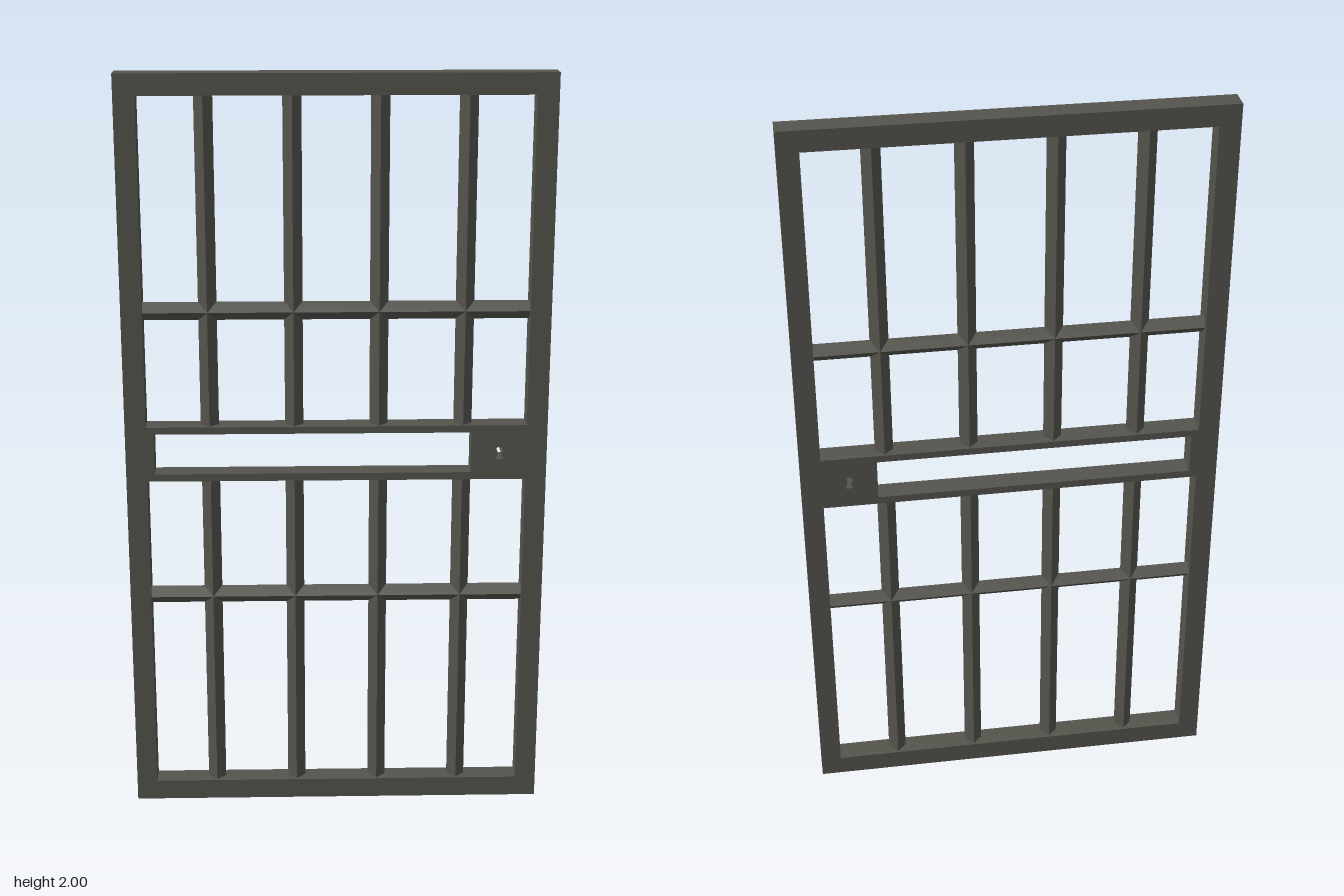
import * as THREE from 'three';

const W = 0.555, DEPTH = 0.06, BAR = 0.024;
const IN_X = 0.5, IN_BOTTOM = 0.055, IN_TOP = 1.945;
const RAIL_BOTTOM = 0.937, RAIL_TOP = 1.086;

function rectPath(PathType, x0, y0, x1, y1) {
  const p = new PathType();
  p.moveTo(x0, y0);
  p.lineTo(x1, y0);
  p.lineTo(x1, y1);
  p.lineTo(x0, y1);
  p.closePath();
  return p;
}

// Round top with a flared foot
function keyholePath(x, y) {
  const p = new THREE.Path();
  p.moveTo(x - 0.01, y - 0.017);
  p.lineTo(x + 0.01, y - 0.017);
  p.lineTo(x + 0.004, y);
  p.absarc(x, y + 0.008, 0.009, -1.1, Math.PI + 1.1, false);
  p.lineTo(x - 0.004, y);
  p.closePath();
  return p;
}

export function createModel() {
  const group = new THREE.Group();
  const material = new THREE.MeshStandardMaterial({ color: 0x55544d, flatShading: true });

  function add(name, geometry, x = 0, y = 0, z = 0) {
    const mesh = new THREE.Mesh(geometry, material);
    mesh.name = name;
    mesh.position.set(x, y, z);
    group.add(mesh);
    return mesh;
  }

  // Outer frame and lock rail, with two openings, a long slot and a keyhole
  const shape = rectPath(THREE.Shape, -W, 0, W, 2);
  shape.holes.push(
    rectPath(THREE.Path, -IN_X, IN_BOTTOM, IN_X, RAIL_BOTTOM),
    rectPath(THREE.Path, -IN_X, RAIL_TOP, IN_X, IN_TOP),
    rectPath(THREE.Path, -0.48, 0.957, 0.355, 1.067),
    keyholePath(0.43, 1.01)
  );
  const frame = new THREE.ExtrudeGeometry(shape, { depth: DEPTH, bevelEnabled: false, curveSegments: 16 });
  add('frameWithLockRail', frame, 0, 0, -DEPTH / 2);

  // Square bars set on edge; a four-sided cylinder already has its corners on the axes
  const barGeometry = (length) => new THREE.CylinderGeometry(BAR, BAR, length, 4, 1, true);

  // Vertical bars of both panels
  const panels = [['lower', IN_BOTTOM, RAIL_BOTTOM], ['upper', RAIL_TOP, IN_TOP]];
  for (const [panel, y0, y1] of panels) {
    const geometry = barGeometry(y1 - y0);
    for (const x of [-0.333, -0.111, 0.111, 0.333]) {
      add(panel + 'VerticalBar', geometry, x, (y0 + y1) / 2);
    }
  }

  // Horizontal bars, one across each panel
  const crossGeometry = barGeometry(2 * IN_X).rotateZ(Math.PI / 2);
  add('lowerCrossBar', crossGeometry, 0, 0.605);
  add('upperCrossBar', crossGeometry, 0, 1.392);

  return group;
}
